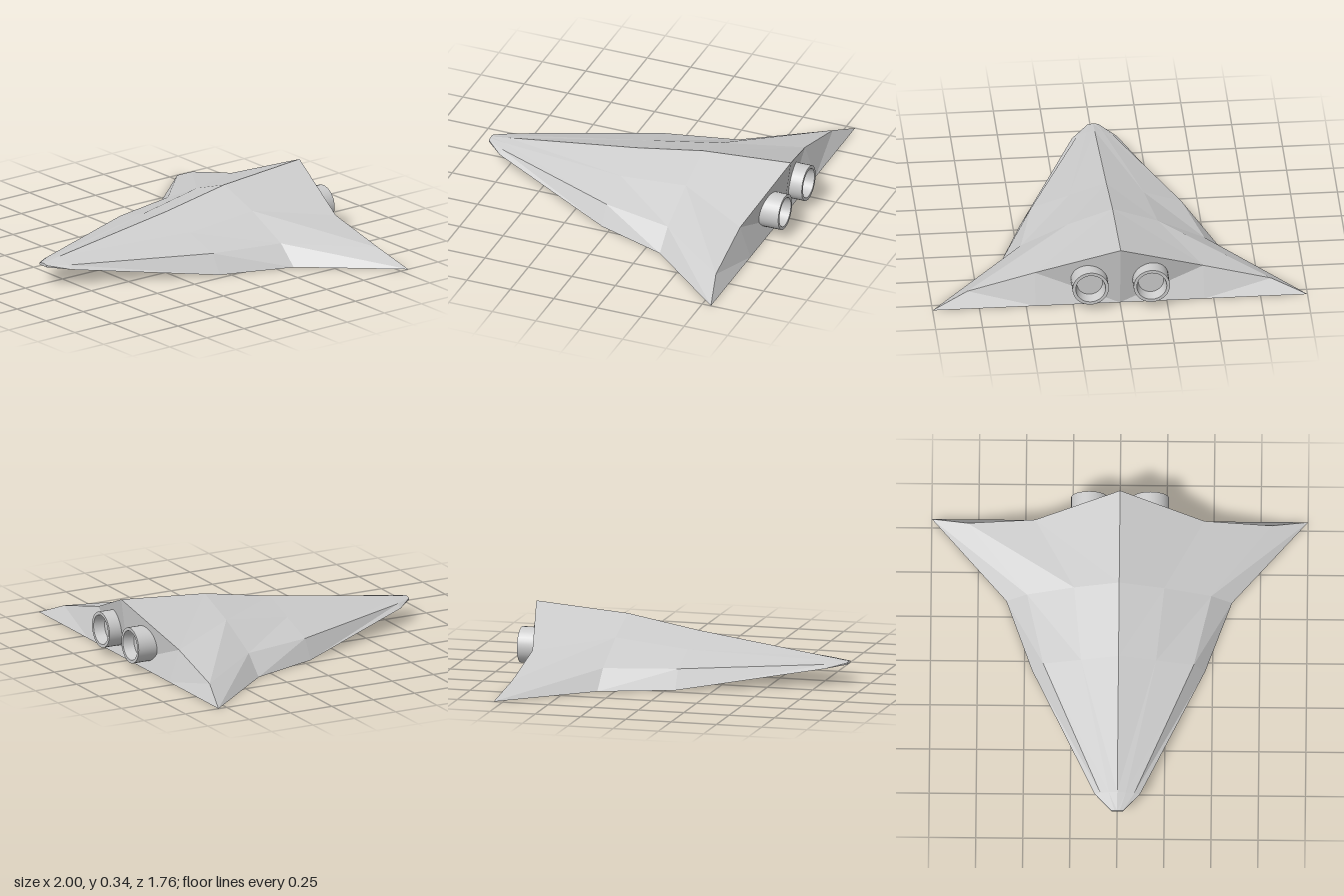
import * as THREE from 'three';

const material = new THREE.MeshStandardMaterial({ color: 0xcccccc, flatShading: true });
const smooth = new THREE.MeshStandardMaterial({ color: 0xcccccc, side: THREE.DoubleSide });

// Half sections, nose to tail: ridge, upper crease, shoulder, outer edge, keel
const sections = [
  [[0, 0.115, 0.88], [0.015, 0.114, 0.88], [0.03, 0.11, 0.88], [0.03, 0.1, 0.88], [0, 0.1, 0.88]],
  [[0, 0.13, 0.78], [0.045, 0.121, 0.78], [0.09, 0.108, 0.78], [0.12, 0.09, 0.78], [0, 0.09, 0.78]],
  [[0, 0.235, 0.05], [0.2, 0.17, 0.05], [0.4, 0.105, 0.05], [0.46, 0, 0.05], [0, 0, 0.05]],
  [[0, 0.305, -0.34], [0.24, 0.222, -0.34], [0.49, 0.105, -0.34], [0.6, 0, -0.34], [0, 0, -0.34]],
  [[0, 0.345, -0.845], [0.45, 0.17, -0.74], [0.81, 0.08, -0.75], [1, 0, -0.8], [0, 0, -0.8]],
];

function hullGeometry() {
  const positions = [];
  // Each triangle is added together with its mirror image
  const tri = (a, b, c) => {
    positions.push(...a, ...b, ...c);
    for (const [x, y, z] of [a, c, b]) positions.push(-x, y, z);
  };
  // Skin between neighbouring sections
  for (let s = 0; s < sections.length - 1; s++) {
    const front = sections[s], back = sections[s + 1];
    for (let k = 0; k < front.length - 1; k++) {
      tri(front[k], front[k + 1], back[k + 1]);
      tri(front[k], back[k + 1], back[k]);
    }
  }
  // Blunt nose cap
  const nose = sections[0];
  for (let k = 0; k < 3; k++) tri(nose[4], nose[k + 1], nose[k]);
  // Folded rear wall
  const [ridge, crease, shoulder, tip, keel] = sections[sections.length - 1];
  const foot = [0.45, 0, -0.8];
  tri(keel, ridge, crease);
  tri(keel, crease, foot);
  tri(foot, crease, shoulder);
  tri(foot, shoulder, tip);

  const geometry = new THREE.BufferGeometry();
  geometry.setAttribute('position', new THREE.Float32BufferAttribute(positions, 3));
  geometry.computeVertexNormals();
  return geometry;
}

// Hollow nozzle, axis towards the rear; each profile segment keeps a sharp edge
function makeEngine(name, x) {
  const engine = new THREE.Group();
  engine.name = name;
  const profile = [[0.097, 0], [0.097, 0.16], [0.08, 0.16], [0.068, 0.1], [0, 0.1]];
  const parts = ['nozzleShell', 'nozzleRim', 'nozzleThroat', 'nozzleFloor'];
  parts.forEach((part, i) => {
    const points = [profile[i], profile[i + 1]].map(([r, h]) => new THREE.Vector2(r, h));
    const mesh = new THREE.Mesh(new THREE.LatheGeometry(points, 32), smooth);
    mesh.name = part;
    engine.add(mesh);
  });
  engine.rotation.x = -Math.PI / 2;
  engine.position.set(x, 0.138, -0.72);
  return engine;
}

export function createModel() {
  const model = new THREE.Group();
  model.name = 'spaceship';
  const hull = new THREE.Mesh(hullGeometry(), material);
  hull.name = 'hull';
  model.add(hull, makeEngine('leftEngine', 0.163), makeEngine('rightEngine', -0.163));
  return model;
}
